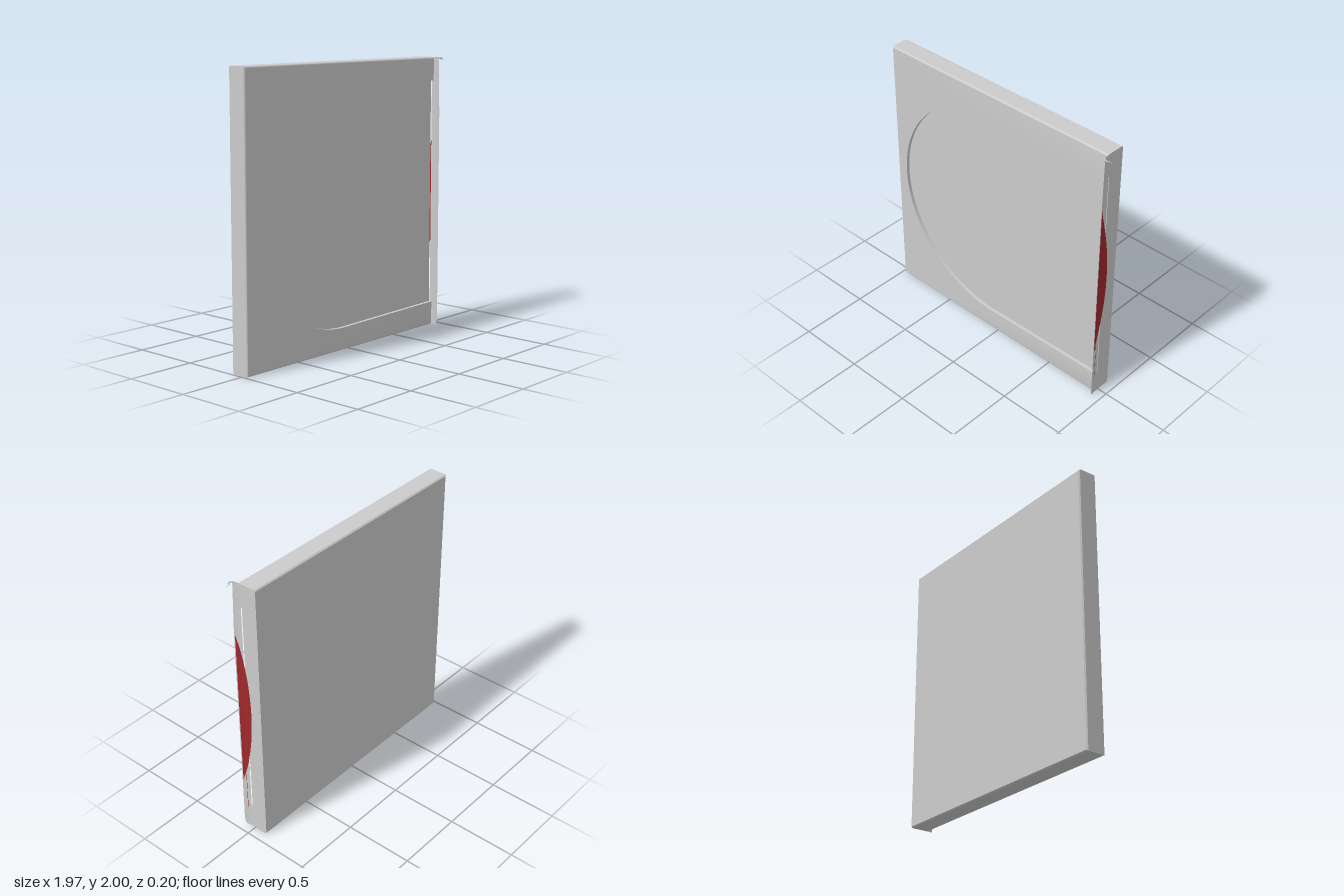
import * as THREE from 'three';
import { toCreasedNormals } from 'three/addons/utils/BufferGeometryUtils.js';

const L = -0.985, R = 0.925, H = 2, BACK = -0.102, FLOOR = 0.018, FRONT = 0.042;
const grey = new THREE.MeshStandardMaterial({ color: 0xcccccc, side: THREE.DoubleSide });
const red = new THREE.MeshStandardMaterial({ color: 0xa0282c, side: THREE.DoubleSide });

// How far the outer edges pull in: chamfer at the back, round at the front
function inset(z) {
  const r = 0.014, c = 0.009;
  if (z > FRONT - r) {
    const t = Math.min(1, (z - FRONT + r) / r);
    return r * (1 - Math.sqrt(1 - t * t));
  }
  return Math.max(0, BACK + c - z);
}

// Extrude a shape from z0 to z1 and soften its outer edges
function layer(name, shape, z0, z1, steps) {
  const g = new THREE.ExtrudeGeometry(shape, { depth: z1 - z0, steps, bevelEnabled: false, curveSegments: 64 });
  g.translate(0, 0, z0);
  const p = g.attributes.position;
  for (let i = 0; i < p.count; i++) {
    const d = inset(p.getZ(i));
    p.setX(i, Math.max(p.getX(i), L + d));
    p.setY(i, THREE.MathUtils.clamp(p.getY(i), d, H - d));
  }
  const m = new THREE.Mesh(toCreasedNormals(g, 0.6), grey);
  m.name = name;
  return m;
}

// Ribbon along the right edge: z runs from z0(y) to z1(y), curling outwards
function ribbon(name, y0, y1, z0, z1, offset, material) {
  const g = new THREE.PlaneGeometry(1, 1, 10, 48);
  const p = g.attributes.position;
  for (let i = 0; i < p.count; i++) {
    const y = THREE.MathUtils.lerp(y0, y1, p.getY(i) + 0.5);
    const z = THREE.MathUtils.lerp(z1(y), z0(y), p.getX(i) + 0.5);
    const t = Math.max(0, (z - 0.025) / 0.063);
    p.setXYZ(i, R + offset + 0.011 * t * t, y, z);
  }
  g.computeVertexNormals();
  const m = new THREE.Mesh(g, material);
  m.name = name;
  return m;
}

export function createModel() {
  const group = new THREE.Group();
  group.name = 'panel';

  // Back slab, forming the floor of the recess
  const slab = new THREE.Shape();
  slab.moveTo(L, 0).lineTo(R, 0).lineTo(R, H).lineTo(L, H).closePath();
  group.add(layer('backSlab', slab, BACK, FLOOR, 14));

  // Front frame around a U-shaped recess open to the right
  const frame = new THREE.Shape();
  frame.moveTo(R, 0.175).lineTo(R, 0).lineTo(L, 0).lineTo(L, H).lineTo(R, H).lineTo(R, 1.828);
  frame.lineTo(-0.06, 1.845);
  frame.absellipse(-0.06, 1.0025, 0.84, 0.8425, Math.PI / 2, Math.PI * 1.5, false);
  frame.closePath();
  group.add(layer('frontFrame', frame, FLOOR, FRONT, 10));

  // Thin flap curling out of the right edge
  const flapEdge = y => {
    if (y > 1.6) return 0.088 - 0.009 * (y - 1.6) / 0.4;
    return y < 0.02 ? 0.075 + 0.65 * y : 0.088;
  };
  group.add(ribbon('edgeFlap', 0, H, () => 0.025, flapEdge, 0.001, grey));

  // Red circular segment and its thin tail on the edge
  const rad = 1.85;
  const arc = y => Math.min(0.081, -0.018 + rad - Math.sqrt(rad * rad - (y - 1) ** 2));
  group.add(ribbon('redSegment', 0.4, 1.6, arc, () => 0.081, 0.002, red));
  group.add(ribbon('redTail', 0.14, 0.5, () => 0.054, () => 0.057, 0.002, red));

  // Small curl at the top of the flap
  const curl = new THREE.CatmullRomCurve3([
    [0.934, 1.993, 0.078], [0.945, 1.994, 0.088], [0.957, 1.992, 0.088], [0.964, 1.986, 0.076],
  ].map(a => new THREE.Vector3(...a)));
  const hook = new THREE.Mesh(new THREE.TubeGeometry(curl, 12, 0.005, 6), grey);
  hook.name = 'topCurl';
  group.add(hook);
  const crumb = new THREE.Mesh(new THREE.IcosahedronGeometry(0.005), grey);
  crumb.name = 'curlTip';
  crumb.position.set(0.978, 1.986, 0.078);
  group.add(crumb);

  return group;
}
